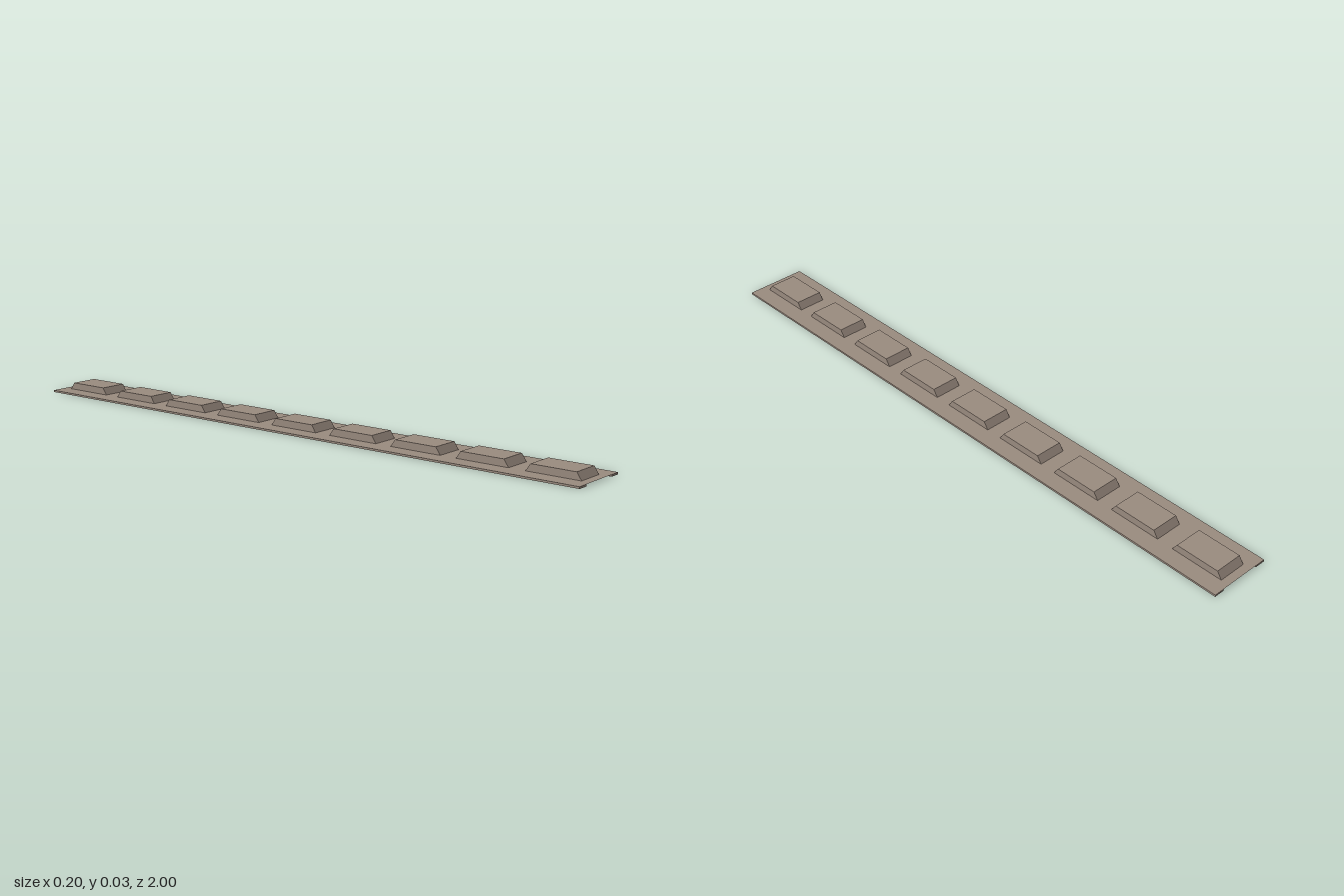
import * as THREE from 'three';

const SEGMENTS = 9;
const PITCH = 2 / SEGMENTS;
const DECK = 0.006;

const taupe = new THREE.MeshStandardMaterial({ color: 0x9b8c80, flatShading: true, side: THREE.DoubleSide });
taupe.name = 'taupe';

function part(name, geometry, x = 0, y = 0, z = 0) {
  const mesh = new THREE.Mesh(geometry, taupe);
  mesh.name = name;
  mesh.position.set(x, y, z);
  return mesh;
}

// Box without the listed faces (0 +x, 1 -x, 2 +y, 3 -y, 4 +z, 5 -z)
function openBox(w, h, d, missing) {
  const g = new THREE.BoxGeometry(w, h, d);
  const kept = Array.from(g.index.array).filter((_, i) => !missing.includes(Math.floor(i / 6)));
  g.setIndex(kept);
  g.clearGroups();
  return g;
}

// Hollow pad whose two ends slope inwards towards the top
function padGeometry() {
  const g = openBox(0.09, 0.022, 0.17, [3]);
  const p = g.attributes.position;
  for (let i = 0; i < p.count; i++) {
    if (p.getY(i) > 0) p.setZ(i, Math.sign(p.getZ(i)) * 0.07);
  }
  g.computeVertexNormals();
  return g;
}

function rectangle(Type, hx, hz) {
  return new Type([[-hx, -hz], [hx, -hz], [hx, hz], [-hx, hz]].map(([x, y]) => new THREE.Vector2(x, y)));
}

// Thin deck with an opening below the pad
function deckGeometry() {
  const shape = rectangle(THREE.Shape, 0.066, PITCH / 2);
  shape.holes.push(rectangle(THREE.Path, 0.045, 0.085));
  return new THREE.ShapeGeometry(shape).rotateX(-Math.PI / 2);
}

export function createModel() {
  const model = new THREE.Group();
  model.name = 'paddedStrip';

  const pad = padGeometry();
  const deck = deckGeometry();
  const rail = new THREE.BoxGeometry(0.034, DECK, PITCH);
  const socket = openBox(0.046, 0.023, 0.1, [2, 3]);

  for (let i = 0; i < SEGMENTS; i++) {
    const segment = new THREE.Group();
    segment.name = 'segment' + (i + 1);
    segment.position.z = -1 + PITCH * (i + 0.5);
    segment.add(
      part('deck', deck, 0, DECK, 0),
      part('pad', pad, 0, DECK + 0.011, 0),
      part('socket', socket, 0, 0.0165, 0),
      part('leftRail', rail, 0.083, DECK / 2, 0),
      part('rightRail', rail, -0.083, DECK / 2, 0)
    );
    model.add(segment);
  }
  return model;
}
